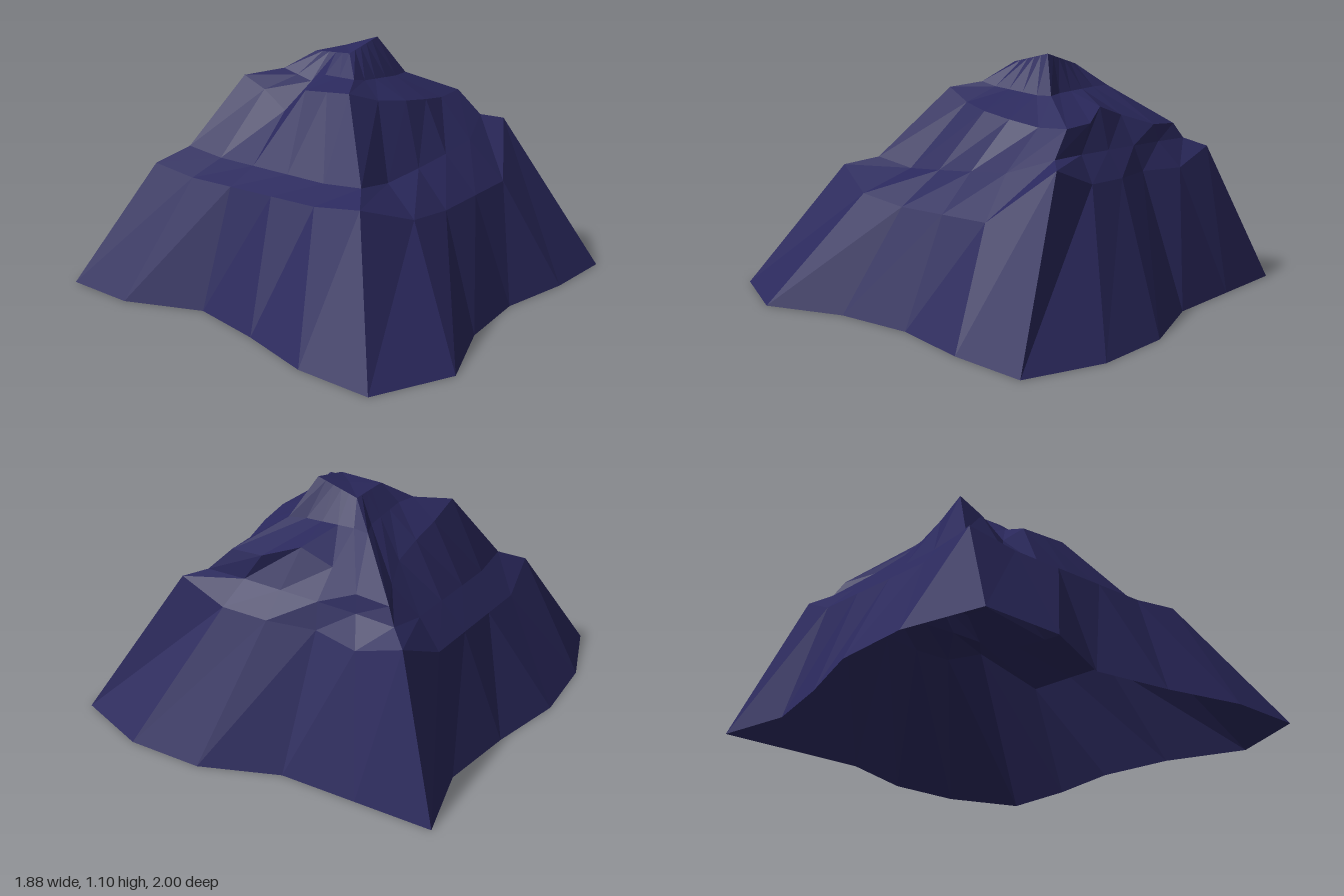
import * as THREE from 'three';

const STEPS = 5;
const OUT = [[0, -1], [1, 0], [0, 1], [-1, 0]];

// One contour: x extent, then z and height of the corners
// (back-left, back-right, front-right, front-left), then how far the points between
// the corners of the back, right, front and left sides move outward and upward.
// A side's move is one number, or four where the points differ.
function contour([west, east], depths, heights, bulge, lift) {
  const xs = [west, east, east, west];
  const corners = xs.map((x, i) => new THREE.Vector3(x, heights[i], depths[i]));
  const pick = (move, i) => (Array.isArray(move) ? move[i] : move);
  const points = [];
  for (let side = 0; side < 4; side++) {
    points.push(corners[side]);
    for (let i = 0; i < STEPS - 1; i++) {
      const p = corners[side].clone().lerp(corners[(side + 1) % 4], (i + 1) / STEPS);
      const push = pick(bulge[side], i);
      p.x += OUT[side][0] * push;
      p.z += OUT[side][1] * push;
      p.y += pick(lift[side], i);
      points.push(p);
    }
  }
  return points;
}

export function createModel() {
  const group = new THREE.Group();
  group.name = 'mountain';
  const rock = new THREE.MeshStandardMaterial({ color: 0x2a285c, flatShading: true, side: THREE.DoubleSide });
  rock.name = 'indigo rock';

  const level = [0, 0, 0, 0];
  const foot = contour([-0.94, 0.81], [-0.9, -0.9, 0.85, 0.85], level,
    [[0.1, 0.1, 0, -0.07], [0, 0, 0.13, 0.13], [0, -0.05, 0, 0.15], [0, -0.09, -0.15, 0]], level);
  const lowerShoulder = contour([-0.6, 0.61], [-0.69, -0.65, 0.42, 0.53], [0.54, 0.65, 0.7, 0.57],
    [0.04, [0, -0.05, 0, 0.01], [0.14, 0.13, 0.12, 0.11], 0],
    [-0.1, -0.08, [-0.2, -0.18, -0.16, -0.11], -0.03]);
  const upperShoulder = contour([-0.47, 0.53], [-0.6, -0.57, 0.34, 0.43], [0.61, 0.69, 0.72, 0.61],
    [0.01, -0.01, [0.06, 0.05, 0.03, 0], 0], [-0.03, 0, -0.05, -0.02]);
  const crag = contour([-0.25, 0.5], [-0.45, -0.53, 0.23, 0.18], [0.93, 0.76, 0.83, 0.93],
    [[-0.03, -0.06, -0.08, -0.05], [0, -0.07, -0.07, 0], [0.02, 0.05, 0.06, 0.03], 0],
    [-0.02, [0, 0.04, 0.08, 0.02], -0.03, [-0.01, -0.02, -0.13, -0.05]]);
  const neck = contour([-0.12, 0.28], [-0.32, -0.31, 0.08, 0.1], [0.96, 0.94, 0.93, 0.96],
    [-0.03, -0.02, 0, 0], [0, 0, -0.01, [0, 0, -0.04, -0.02]]);
  const peak = contour([-0.02, 0.18], [-0.21, -0.2, -0.01, -0.01], [1.04, 1.04, 1.1, 1.05], level, level);

  const rings = [foot, lowerShoulder, upperShoulder, crag, neck, peak];
  const build = (name, triangles) => {
    const geometry = new THREE.BufferGeometry().setFromPoints(triangles);
    geometry.computeVertexNormals();
    const mesh = new THREE.Mesh(geometry, rock);
    mesh.name = name;
    group.add(mesh);
  };

  // Slopes: facets joining each contour to the next, open underneath
  const slopes = [];
  for (let r = 0; r < rings.length - 1; r++) {
    rings[r].forEach((a, i) => {
      const j = (i + 1) % rings[r].length;
      const b = rings[r][j], c = rings[r + 1][j], d = rings[r + 1][i];
      slopes.push(b, a, d, b, d, c);
    });
  }
  build('slopes', slopes);

  // Summit: small tilted cap
  const centre = peak.reduce((sum, p) => sum.add(p), new THREE.Vector3()).divideScalar(peak.length);
  build('summit', peak.flatMap((p, i) => [centre, peak[(i + 1) % peak.length], p]));

  return group;
}
